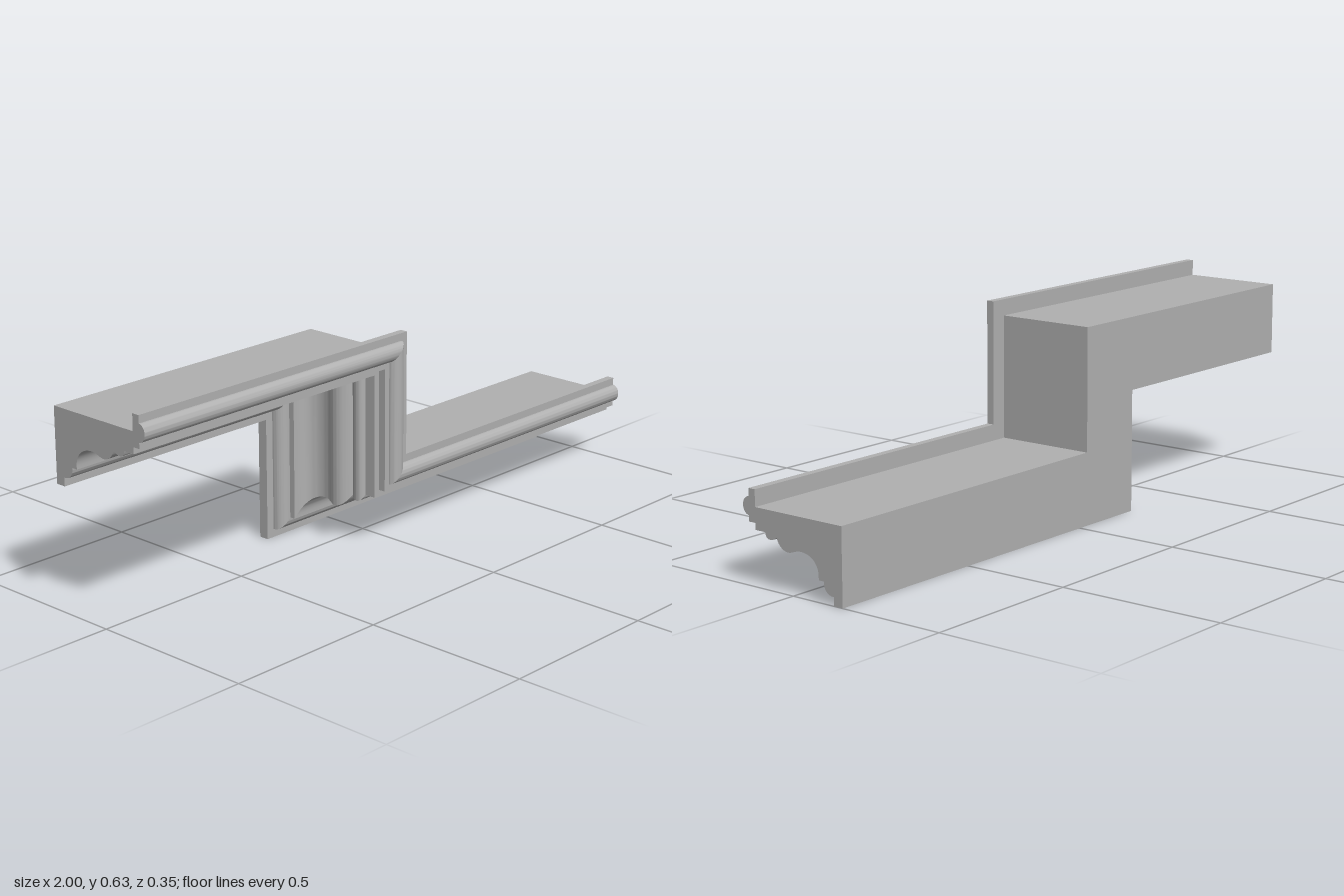
import * as THREE from 'three';
import { toCreasedNormals } from 'three/addons/utils/BufferGeometryUtils.js';

const RISE = 0.366; // height of the step
const STEP_X = -0.25; // outer edge of the upright run

// Moulding section: x is depth (z in the model), y is the offset from the lower edge
function mouldingProfile() {
  const s = new THREE.Shape();
  s.moveTo(-0.1755, 0);
  s.lineTo(-0.145, 0);
  s.lineTo(-0.145, 0.025);
  s.lineTo(-0.141, 0.025);
  s.absarc(-0.141, 0.055, 0.03, -Math.PI / 2, 0, false); // small ovolo
  s.lineTo(-0.111, 0.06);
  s.lineTo(-0.093, 0.06);
  s.lineTo(-0.093, 0.07);
  s.bezierCurveTo(-0.093, 0.105, -0.065, 0.125, -0.03, 0.125); // cove
  s.bezierCurveTo(-0.012, 0.125, 0, 0.115, 0.015, 0.115);
  s.bezierCurveTo(0.035, 0.115, 0.05, 0.13, 0.056, 0.148);
  s.bezierCurveTo(0.068, 0.135, 0.095, 0.132, 0.097, 0.156); // bead
  s.lineTo(0.132, 0.156);
  s.lineTo(0.132, 0.175);
  s.lineTo(0.155, 0.175);
  s.lineTo(0.155, 0.1925);
  s.absellipse(0.155, 0.218, 0.0215, 0.0255, -Math.PI / 2, Math.PI / 2, false, 0); // nose
  s.lineTo(0.155, 0.266);
  s.lineTo(0.132, 0.266);
  s.lineTo(0.132, 0.218);
  s.lineTo(-0.1755, 0.218);
  return s.getPoints(12);
}

// Stations along the stepped path; the two corners are mitred
const stations = [
  (p) => [-1, RISE + p.y, p.x],
  (p) => [STEP_X + p.y, RISE + p.y, p.x],
  (p) => [STEP_X + p.y, p.y, p.x],
  (p) => [1, p.y, p.x],
];

function geometryFrom(positions) {
  const g = new THREE.BufferGeometry();
  g.setAttribute('position', new THREE.Float32BufferAttribute(positions, 3));
  return toCreasedNormals(g, 0.5);
}

// Skin between two stations
function runGeometry(profile, start, end) {
  const pos = [];
  profile.forEach((p, i) => {
    const q = profile[(i + 1) % profile.length];
    const a = start(p), b = start(q), c = end(q), d = end(p);
    pos.push(...a, ...d, ...c, ...a, ...c, ...b);
  });
  return geometryFrom(pos);
}

// Flat end face
function capGeometry(profile, station, flip) {
  const pos = [];
  for (const [a, b, c] of THREE.ShapeUtils.triangulateShape(profile, [])) {
    for (const i of flip ? [a, c, b] : [a, b, c]) pos.push(...station(profile[i]));
  }
  return geometryFrom(pos);
}

export function createModel() {
  const group = new THREE.Group();
  group.name = 'steppedMoulding';
  const plaster = new THREE.MeshStandardMaterial({ color: 0xb0b0b0 });
  plaster.name = 'grey plaster';
  const profile = mouldingProfile();

  const add = (name, geometry) => {
    const mesh = new THREE.Mesh(geometry, plaster);
    mesh.name = name;
    group.add(mesh);
  };

  ['upperRun', 'uprightRun', 'lowerRun'].forEach((name, i) =>
    add(name, runGeometry(profile, stations[i], stations[i + 1])));
  add('upperEndFace', capGeometry(profile, stations[0], false));
  add('lowerEndFace', capGeometry(profile, stations[3], true));
  return group;
}
